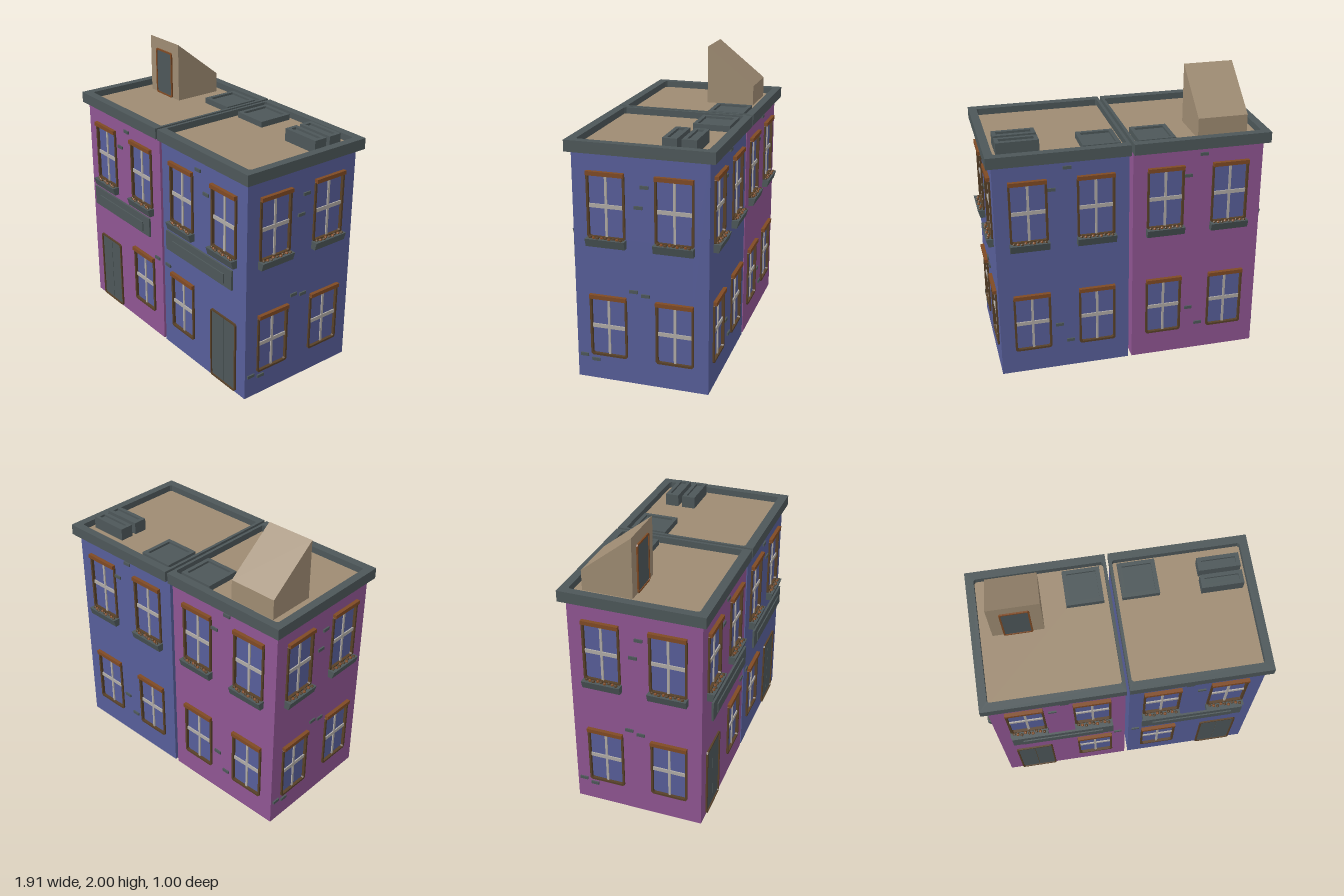
import * as THREE from 'three';

const mat = (name, color, side = THREE.FrontSide) => {
  const m = new THREE.MeshStandardMaterial({ color, side });
  m.name = name;
  return m;
};
const M = {
  purple: mat('purple wall', 0x8f5592, THREE.DoubleSide),
  blue: mat('blue wall and glass', 0x575e99, THREE.DoubleSide),
  slate: mat('slate grey', 0x4d5759),
  tan: mat('tan roof', 0x9e8b72, THREE.DoubleSide),
  brown: mat('red brown', 0x7f4a24),
  dark: mat('dark brown', 0x574028),
  bar: mat('pale grey', 0xb0aba6),
};

const HALF = 0.4475, WALL_H = 1.56, ROOF_Y = 1.59;

function mesh(name, geo, material, parent, x = 0, y = 0, z = 0) {
  const m = new THREE.Mesh(geo, material);
  m.name = name;
  m.position.set(x, y, z);
  parent.add(m);
  return m;
}
const box = (name, w, h, d, material, parent, x, y, z) =>
  mesh(name, new THREE.BoxGeometry(w, h, d), material, parent, x, y, z);

// Rectangle outline, with optionally cut corners
function rect(Type, x0, y0, x1, y1, c = 0) {
  const p = c
    ? [[x0 + c, y0], [x1 - c, y0], [x1, y0 + c], [x1, y1 - c], [x1 - c, y1], [x0 + c, y1], [x0, y1 - c], [x0, y0 + c]]
    : [[x0, y0], [x1, y0], [x1, y1], [x0, y1]];
  return new Type(p.map(([x, y]) => new THREE.Vector2(x, y)));
}

// Rectangular ring with thickness, lying in the xy plane
function ring(o, i, depth, co = 0, ci = 0) {
  const s = rect(THREE.Shape, ...o, co);
  s.holes.push(rect(THREE.Path, ...i, ci));
  return new THREE.ExtrudeGeometry(s, { depth, bevelEnabled: false });
}

// Sash window: pane, cross bars, frame and lintel
function addWindow(face, u, y0, y1) {
  const g = new THREE.Group();
  g.name = 'window';
  g.position.x = u;
  face.add(g);
  const h = y1 - y0, mid = (y0 + y1) / 2;
  mesh('pane', new THREE.PlaneGeometry(0.24, h - 0.01), M.blue, g, 0, mid, -0.008);
  box('uprightBar', 0.016, h - 0.02, 0.008, M.bar, g, 0, mid, -0.002);
  box('crossBar', 0.23, 0.026, 0.008, M.bar, g, 0, mid, -0.001);
  mesh('frame', ring([-0.127, y0, 0.127, y1], [-0.113, y0 + 0.014, 0.113, y1 - 0.014], 0.03, 0.012, 0.008),
    M.dark, g, 0, 0, -0.018);
  box('lintel', 0.25, 0.027, 0.035, M.brown, g, 0, y1, 0.008);
}

// Flower box with a row of small plants
function addPlanter(face, u) {
  const s = new THREE.Shape([[0, 0.95], [0.034, 0.95], [0.05, 1.005], [0, 1.005]].map(([x, y]) => new THREE.Vector2(x, y)));
  const geo = new THREE.ExtrudeGeometry(s, { depth: 0.262, bevelEnabled: false });
  geo.rotateY(-Math.PI / 2).translate(0.131, 0, 0);
  const g = new THREE.Group();
  g.name = 'planter';
  g.position.x = u;
  face.add(g);
  mesh('planterBox', geo, M.slate, g);
  for (let i = 0; i < 9; i++) {
    mesh('plant', new THREE.IcosahedronGeometry(0.012, 0), i % 2 ? M.brown : M.dark, g,
      -0.104 + i * 0.026, 1.008, 0.026 + (i % 3 - 1) * 0.006);
  }
}

// Double door with a thin frame
function addDoor(face, u) {
  const g = new THREE.Group();
  g.name = 'door';
  g.position.x = u;
  face.add(g);
  mesh('doorFrame', ring([-0.132, 0.01, 0.132, 0.535], [-0.121, 0.021, 0.121, 0.524], 0.03, 0.012, 0.008),
    M.dark, g, 0, 0, -0.018);
  for (const s of [-1, 1]) box('doorLeaf', 0.118, 0.506, 0.012, M.slate, g, s * 0.0612, 0.2725, -0.002);
  box('doorGap', 0.01, 0.5, 0.006, M.dark, g, 0, 0.2725, -0.004);
}

// Shop sign standing slightly off the wall
function addSign(face, u) {
  box('signBoard', 0.71, 0.14, 0.014, M.slate, face, u, 0.87, 0.037);
  box('signPanel', 0.56, 0.07, 0.01, M.slate, face, u, 0.855, 0.047);
}

// One wall with openings; upper and lower list the window centres
function addFace(house, name, angle, wallMat, { upper = [], lower = [], door = null, sign = null, bricks = [] }) {
  const face = new THREE.Group();
  face.name = name;
  face.rotation.y = angle;
  face.position.set(Math.sin(angle) * HALF, 0, Math.cos(angle) * HALF);
  house.add(face);
  const s = rect(THREE.Shape, -HALF, 0, HALF, WALL_H);
  const cut = (u, y0, y1) => s.holes.push(rect(THREE.Path, u - 0.119, y0 + 0.007, u + 0.119, y1 - 0.007));
  for (const u of upper) {
    cut(u, 1.0, 1.43);
    addWindow(face, u, 1.0, 1.43);
    addPlanter(face, u);
  }
  for (const u of lower) {
    cut(u, 0.175, 0.597);
    addWindow(face, u, 0.175, 0.597);
  }
  if (door !== null) {
    cut(door, 0.01, 0.535);
    addDoor(face, door);
  }
  if (sign !== null) addSign(face, sign);
  for (const [u, y] of bricks) box('looseBrick', 0.055, 0.021, 0.012, M.slate, face, u, y, 0.004);
  mesh('wall', new THREE.ShapeGeometry(s), wallMat, face);
}

// Shallow slate box with a sunken middle, for skylights and roof vents
function addTray(parent, name, x0, z0, x1, z1, top, rim) {
  const geo = ring([x0, -z1, x1, -z0], [x0 + rim, -z1 + rim, x1 - rim, -z0 - rim], top - ROOF_Y);
  geo.rotateX(-Math.PI / 2);
  mesh(name + 'Rim', geo, M.slate, parent, 0, ROOF_Y, 0);
  const h = top - ROOF_Y - 0.015;
  box(name + 'Well', x1 - x0 - rim * 2, h, z1 - z0 - rim * 2, M.slate, parent, (x0 + x1) / 2, ROOF_Y + h / 2, (z0 + z1) / 2);
}

// Side is -1 for the purple house and 1 for the blue one
function addHouse(root, side) {
  const house = new THREE.Group();
  house.name = side < 0 ? 'purpleHouse' : 'blueHouse';
  house.position.x = side * 0.46;
  root.add(house);
  const wallMat = side < 0 ? M.purple : M.blue;
  const W = 0.224, pair = [-W, W];
  addFace(house, 'frontFace', 0, wallMat, {
    upper: pair, lower: [-side * W], door: side * W, sign: -side * 0.003,
    bricks: [[-side * 0.045, 1.48], [side * 0.04, 1.34], [-side * 0.395, 0.64]],
  });
  addFace(house, 'backFace', Math.PI, wallMat, {
    upper: pair, lower: pair,
    bricks: [[0.035, 1.51], [-0.07, 1.365], [-0.04, 0.345], [0.035, 0.21]],
  });
  addFace(house, 'outerFace', side * Math.PI / 2, wallMat, {
    upper: pair, lower: pair,
    bricks: [[0.03, 1.365], [-0.01, 1.23], [-0.05, 0.66], [0.03, 0.64], [-0.4, 0.165], [-0.32, 0.14]],
  });
  addFace(house, 'partyFace', -side * Math.PI / 2, wallMat, {});

  // Cornice around a sunken flat roof
  const xo = [side * 0.485, -side * 0.45].sort((a, b) => a - b);
  const cornice = ring([xo[0], -0.48, xo[1], 0.49], [-0.43, -0.42, 0.43, 0.435], 0.075, 0, 0.012);
  cornice.rotateX(-Math.PI / 2);
  mesh('cornice', cornice, M.slate, house, 0, WALL_H, 0);
  const roof = new THREE.PlaneGeometry(0.87, 0.865).rotateX(-Math.PI / 2);
  mesh('flatRoof', roof, M.tan, house, 0, ROOF_Y, -0.0075);
}

export function createModel() {
  const root = new THREE.Group();
  root.name = 'terraceHouses';
  for (const side of [-1, 1]) addHouse(root, side);

  // Skylights and vents
  addTray(root, 'skylight', -0.31, -0.41, -0.06, -0.16, 1.63, 0.027);
  addTray(root, 'skylight', 0.06, -0.41, 0.31, -0.16, 1.63, 0.027);
  addTray(root, 'vent', 0.58, -0.35, 0.86, -0.255, 1.675, 0.026);
  addTray(root, 'vent', 0.58, -0.225, 0.86, -0.13, 1.675, 0.026);

  // Roof access hut with a sloping top
  const hut = new THREE.Group();
  hut.name = 'roofHut';
  hut.position.set(-0.64, 0, -0.04);
  root.add(hut);
  const profile = new THREE.Shape([[0, ROOF_Y], [0.34, ROOF_Y], [0.34, 1.73], [0, 2]].map(([x, y]) => new THREE.Vector2(x, y)));
  const body = new THREE.ExtrudeGeometry(profile, { depth: 0.34, bevelEnabled: false });
  body.rotateY(Math.PI / 2).translate(-0.17, 0, 0);
  mesh('hutBody', body, M.tan, hut);
  box('hutDoor', 0.18, 0.32, 0.006, M.slate, hut, 0, 1.75, 0.002);
  mesh('hutDoorFrame', ring([-0.096, ROOF_Y, 0.096, 1.922], [-0.085, ROOF_Y + 0.011, 0.085, 1.911], 0.01, 0.01, 0.007),
    M.brown, hut);
  return root;
}
